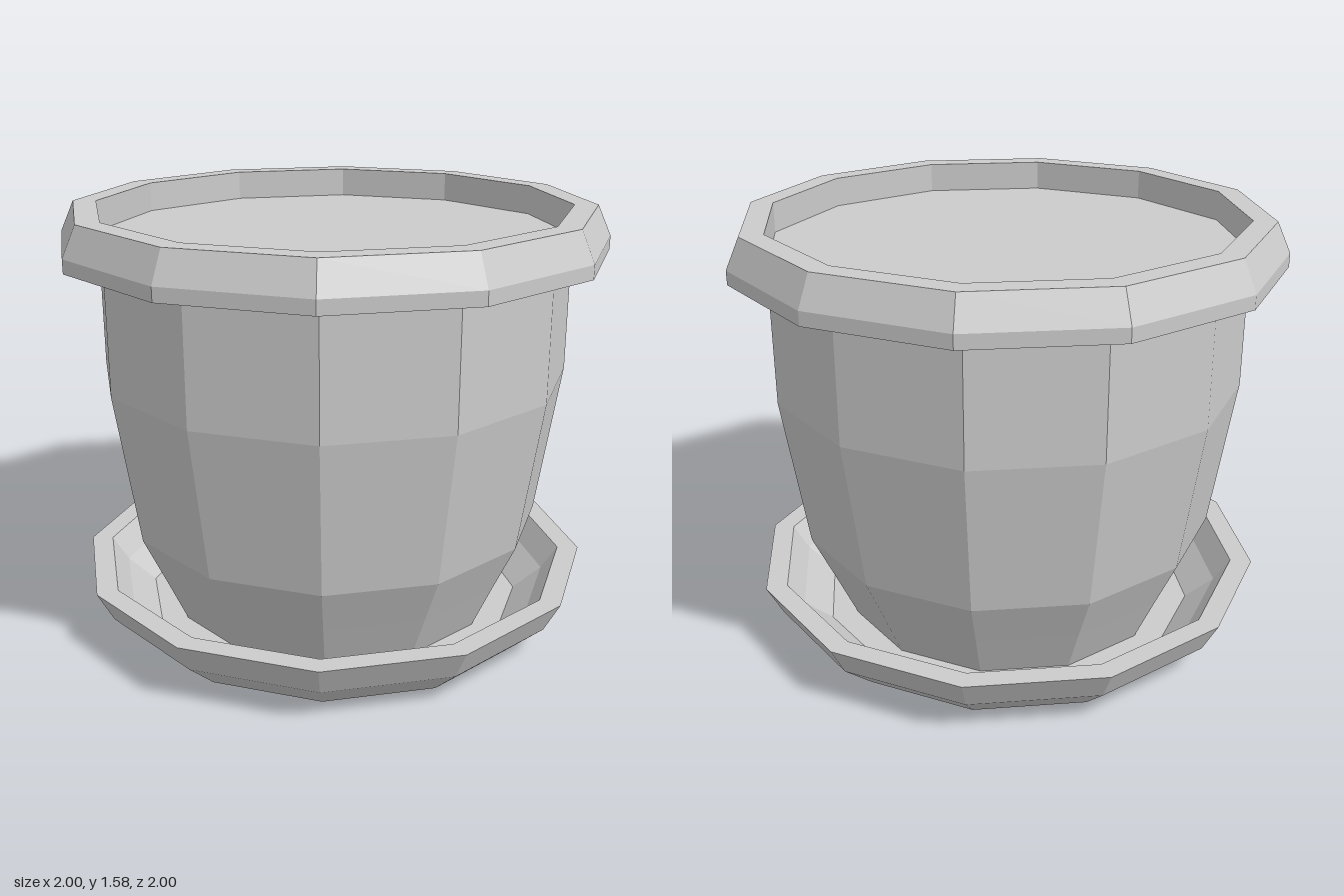
import * as THREE from 'three';

const SIDES = 12;

// Revolves a [radius, height] profile into a faceted twelve-sided part
function turned(name, profile, material) {
  const points = profile.map(([r, y]) => new THREE.Vector2(r, y));
  const mesh = new THREE.Mesh(new THREE.LatheGeometry(points, SIDES), material);
  mesh.name = name;
  return mesh;
}

export function createModel() {
  const material = new THREE.MeshStandardMaterial({
    color: 0xcccccc, flatShading: true, side: THREE.DoubleSide,
  });
  const model = new THREE.Group();
  model.name = 'flowerPot';

  // Saucer: flat base, flared outer wall, thin lip, stepped inside and floor
  model.add(turned('saucer', [
    [0, 0], [0.78, 0], [0.905, 0.115], [0.965, 0.23],
    [0.885, 0.23], [0.825, 0.14], [0.72, 0.05], [0, 0.05],
  ], material));

  // Pot wall, tapering towards the foot
  model.add(turned('potBody', [
    [0.62, 0.05], [0.7, 0.23], [0.78, 0.405], [0.865, 0.97], [0.865, 1.47],
  ], material));

  // Hollow rim skirt, open underneath, with its inner wall down to the soil
  model.add(turned('rim', [
    [1, 1.42], [1, 1.47], [0.95, 1.58], [0.865, 1.58], [0.865, 1.47],
  ], material));

  // Soil surface recessed below the rim
  const soil = new THREE.Mesh(new THREE.CircleGeometry(0.865, SIDES), material);
  soil.name = 'soil';
  soil.rotation.x = -Math.PI / 2;
  soil.position.y = 1.47;
  model.add(soil);

  return model;
}
